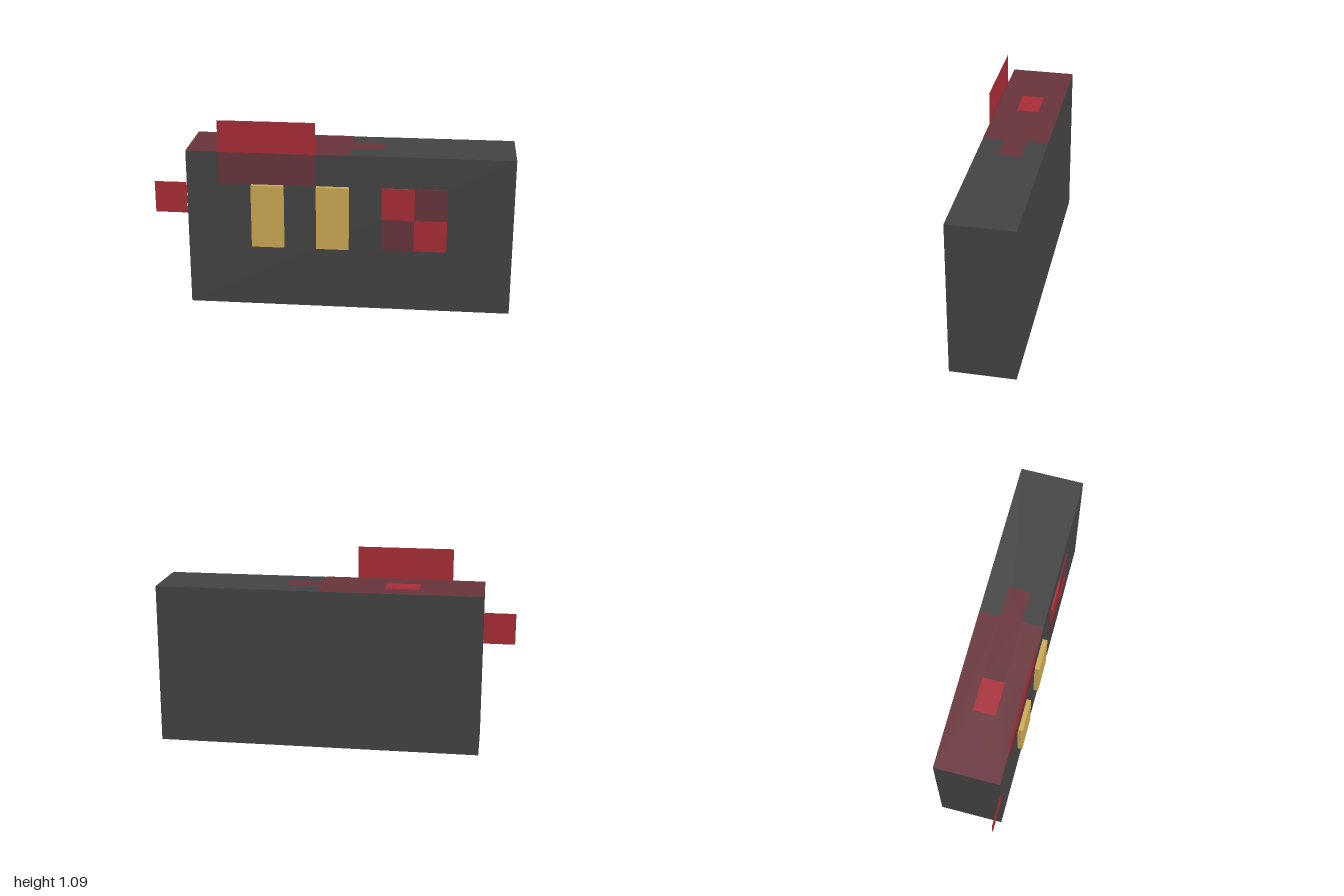
import * as THREE from 'three';

export function createModel() {
  const model = new THREE.Group();
  const mat = (name, color, side = THREE.FrontSide) => {
    const m = new THREE.MeshStandardMaterial({ color, side });
    m.name = name;
    return m;
  };
  const charcoal = mat('charcoal', 0x434343);
  const red = mat('red', 0xa82c36, THREE.DoubleSide);
  const maroon = mat('maroon', 0x68343b, THREE.DoubleSide);
  const gold = mat('gold', 0xcca852);

  const u = 2 / 11; // grid unit
  const front = 0.167;
  const add = (name, geometry, material) => {
    const mesh = new THREE.Mesh(geometry, material);
    mesh.name = name;
    model.add(mesh);
    return mesh;
  };
  // Box between two x, y and z limits
  const box = (name, x0, x1, y0, y1, z0, z1, material) =>
    add(name, new THREE.BoxGeometry(x1 - x0, y1 - y0, z1 - z0), material)
      .position.set((x0 + x1) / 2, (y0 + y1) / 2, (z0 + z1) / 2);
  // Thin upright sheet facing the front
  const sheet = (name, x0, x1, y0, y1, material) =>
    add(name, new THREE.PlaneGeometry(x1 - x0, y1 - y0), material)
      .position.set((x0 + x1) / 2, (y0 + y1) / 2, front + 0.003);

  // Main block
  box('body', 1 - 10 * u, 1, 0, 5 * u, -0.195, front, charcoal);

  // Raised gold bars on the front
  for (const x of [-2.5 * u, -0.5 * u]) {
    box('frontBar', x, x + u, 2 * u, 4 * u, front, 0.195, gold);
  }

  // Chequered panel on the front
  for (let i = 0; i < 2; i++) {
    for (let j = 0; j < 2; j++) {
      const x = (1.5 + i) * u, y = (2 + j) * u;
      box('checkTile', x, x + u, y, y + u, front, 0.177, i === j ? maroon : red);
    }
  }
  // Swap to red on the falling diagonal: upper left and lower right

  // Flag above the block and small flag at its right side
  sheet('flagUpper', -3.5 * u, -0.52 * u, 5 * u, 6 * u, red);
  sheet('flagLower', -3.5 * u, -0.52 * u, 4 * u, 5 * u, maroon);
  sheet('sideFlag', -1, 1 - 10 * u, 3 * u, 4 * u, red);

  // Painted top: maroon area with a tab and a red patch in its opening
  const outline = [
    [-0.818, -front], [0.09, -front], [0.09, -0.047], [0.273, -0.047],
    [0.273, 0.077], [0.09, 0.077], [0.09, 0.195], [-0.818, 0.195],
  ];
  const patch = [[-0.463, -0.047], [-0.273, -0.047], [-0.273, 0.077], [-0.463, 0.077]];
  const toPoints = (list) => list.map(([x, y]) => new THREE.Vector2(x, y));
  const paint = new THREE.Shape(toPoints(outline));
  paint.holes.push(new THREE.Path(toPoints(patch)));
  const paintTop = (name, shape, material) => {
    const mesh = add(name, new THREE.ShapeGeometry(shape), material);
    mesh.rotation.x = -Math.PI / 2;
    mesh.position.y = 5 * u + 0.002;
  };
  paintTop('topPaint', paint, maroon);
  paintTop('topPatch', new THREE.Shape(toPoints(patch)), red);

  return model;
}
